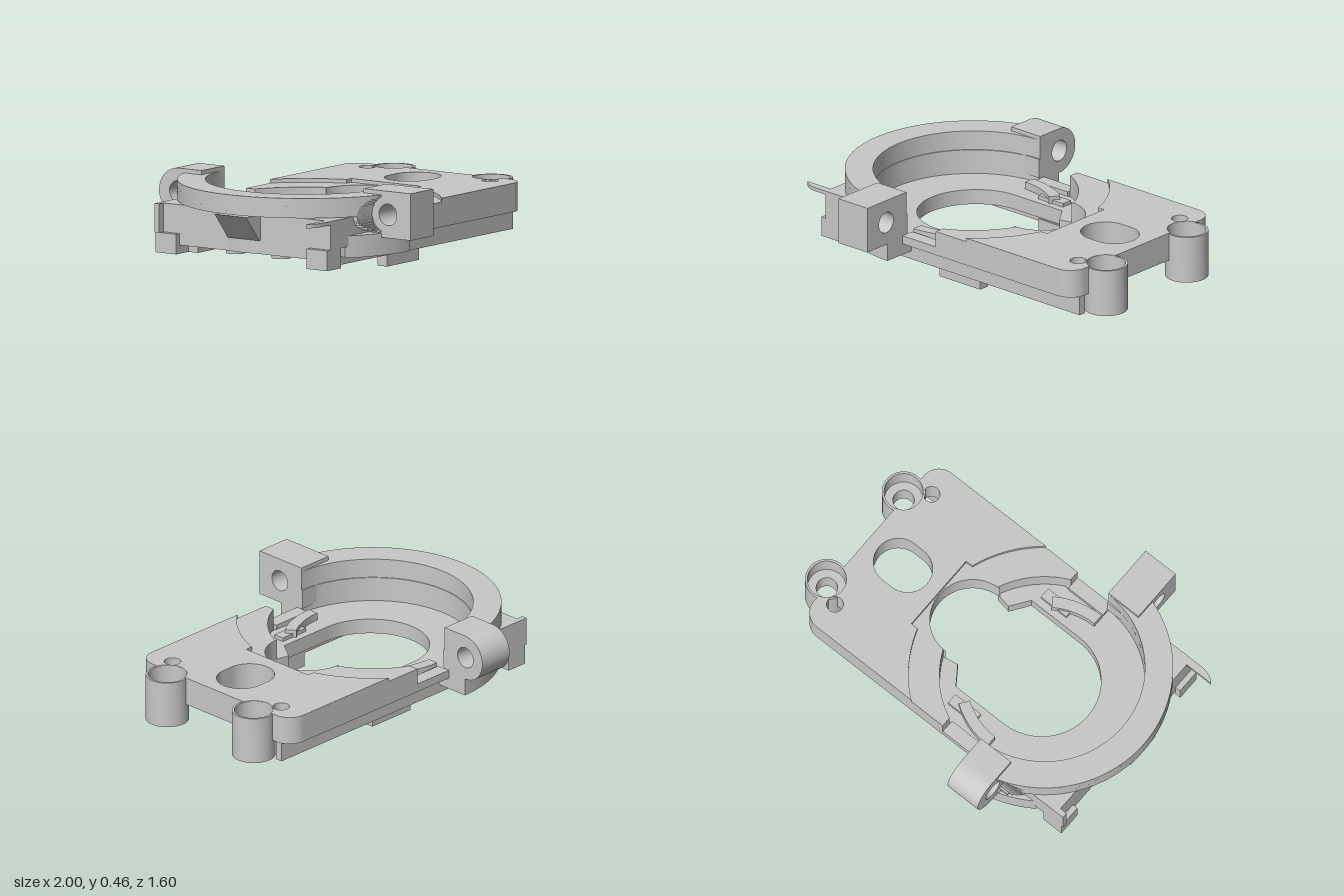
import * as THREE from 'three';
import { toCreasedNormals } from 'three/addons/utils/BufferGeometryUtils.js';

const PI = Math.PI;
const CX = -0.31, CZ = -0.015; // centre of the round seat

export function createModel() {
  const group = new THREE.Group();
  const grey = new THREE.MeshStandardMaterial({ color: 0xc8c8c8 });

  const add = (name, geo) => {
    const mesh = new THREE.Mesh(geo, grey);
    mesh.name = name;
    group.add(mesh);
  };
  const extrude = (shape, depth) =>
    new THREE.ExtrudeGeometry(shape, { depth, bevelEnabled: false, curveSegments: 32 });
  // Plan outline (x, z) raised from y0 to y1
  const slab = (name, shape, y0, y1) => {
    const g = extrude(shape, y1 - y0);
    g.rotateX(PI / 2).translate(0, y1, 0);
    add(name, toCreasedNormals(g, 0.5));
  };
  const box = (name, x0, x1, y0, y1, z0, z1) => {
    const g = new THREE.BoxGeometry(x1 - x0, y1 - y0, z1 - z0);
    g.translate((x0 + x1) / 2, (y0 + y1) / 2, (z0 + z1) / 2);
    add(name, g);
  };
  const polygon = (pts) => new THREE.Shape(pts.map(([x, y]) => new THREE.Vector2(x, y)));
  const circle = (x, z, r) => new THREE.Path().absarc(x, z, r, 0, 2 * PI, false);
  const sector = (r0, r1, a0, a1) => {
    const s = new THREE.Shape();
    s.absarc(CX, CZ, r1, a0, a1, false);
    s.absarc(CX, CZ, r0, a1, a0, true);
    return s;
  };

  // Outer edge of the plate, running from the back edge round to the front edge
  const pinX = 0.885, pinZ = [-0.325, 0.295];
  const outerEdge = (s, startX) => {
    const r = 0.1, a = Math.acos(-0.025 / r);
    s.moveTo(startX, -0.56);
    s.lineTo(0.76, -0.56);
    s.absarc(0.76, -0.46, 0.1, -PI / 2, 0, false);
    for (const z of pinZ) s.absarc(pinX, z, r, -a, a - 2 * PI, true);
    s.absarc(0.76, 0.43, 0.1, 0, PI / 2, false);
    s.lineTo(startX, 0.53);
  };
  const plateHoles = (s) => {
    const oval = new THREE.Path();
    oval.absarc(0.6, -0.018, 0.128, PI / 2, 1.5 * PI, false);
    oval.absarc(0.662, -0.018, 0.128, -PI / 2, PI / 2, false);
    s.holes.push(oval, circle(0.765, -0.405, 0.043), circle(0.765, 0.375, 0.043));
  };

  // Main plate, with a raised top layer outside the large arc
  const main = new THREE.Shape();
  outerEdge(main, -0.08);
  const a1 = Math.asin(0.22 / 0.541);
  main.absarc(CX, CZ, 0.541, Math.acos(0.23 / 0.541), a1, true);
  main.absarc(0.17, CZ, 0.22, PI / 2, -PI / 2, true);
  main.absarc(CX, CZ, 0.541, -a1, -Math.acos(0.23 / 0.541), true);
  plateHoles(main);
  slab('mainPlate', main, 0.18, 0.31);

  const top = new THREE.Shape();
  outerEdge(top, 0.129);
  const b0 = Math.asin(0.545 / 0.7), b1 = Math.asin(0.222 / 0.7);
  top.absarc(CX, CZ, 0.7, b0, b1, true);
  top.lineTo(0.395, 0.205);
  top.lineTo(0.395, -0.237);
  top.absarc(CX, CZ, 0.7, -b1, -b0, true);
  plateHoles(top);
  slab('plateTop', top, 0.31, 0.33);

  // Seat floor around the keyhole opening, flat where it meets the rails
  const floor = new THREE.Shape();
  const a2 = Math.asin(0.475 / 0.54);
  floor.absarc(CX, CZ, 0.54, a1, a2, false);
  floor.lineTo(CX, 0.46);
  floor.absarc(CX, CZ, 0.54, PI / 2, 1.5 * PI, false);
  floor.lineTo(CX, -0.49);
  floor.absarc(CX, CZ, 0.54, -a2, -a1, false);
  floor.lineTo(0.1, -0.22);
  floor.lineTo(0.03, -0.32);
  floor.lineTo(-0.27, -0.32);
  floor.absarc(-0.29, CZ, 0.305, -PI / 2, -1.5 * PI, true);
  floor.lineTo(-0.27, 0.29);
  floor.lineTo(0.03, 0.29);
  floor.lineTo(0.1, 0.19);
  slab('seatFloor', floor, 0.12, 0.2);

  // Left frame with a round inside edge
  const frame = polygon([[CX, -0.56], [-0.84, -0.56], [-0.84, 0.53], [CX, 0.53]]);
  frame.absarc(CX, CZ, 0.515, PI / 2, 1.5 * PI, false);
  slab('leftFrame', frame, 0.18, 0.33);
  box('leftEnd', -0.84, -0.79, 0.12, 0.18, -0.56, 0.53);

  // Tall half ring in thin layers, scooped out beside the ears along the hole axis
  const layers = 20, y0 = 0.23, dy = 0.205 / layers;
  for (let i = 0; i < layers; i++) {
    const y = y0 + i * dy;
    const h = y + dy / 2 - 0.335;
    const d = Math.min(0.655, 0.67 - Math.sqrt(Math.max(0, 0.01 - h * h)));
    const x = CX - Math.sqrt(0.66 * 0.66 - d * d);
    if (y < 0.324) {
      box('frontWall', x, CX, y, y + dy, 0.49, CZ + d);
      box('backWall', x, CX, y, y + dy, CZ - d, -0.52);
      continue;
    }
    const c = PI - Math.asin(d / 0.66);
    const ring = new THREE.Shape();
    ring.moveTo(CX, CZ + d);
    ring.lineTo(x, CZ + d);
    ring.absarc(CX, CZ, 0.66, c, 2 * PI - c, false);
    ring.lineTo(CX, CZ - d);
    ring.absarc(CX, CZ, 0.515, 1.5 * PI, PI / 2, true);
    slab('halfRing', ring, y, y + dy);
  }

  // Gusset under the ring overhang at the left end
  const gusset = polygon([[-0.965, 0.325], [-0.85, 0.19], [-0.83, 0.19], [-0.83, 0.325]]);
  add('gusset', extrude(gusset, 0.2).translate(0, 0, CZ - 0.1));

  // Ring skirts that bulge past the frame on both sides
  slab('frontSkirt', sector(0.515, 0.66, PI / 2, 2.2), 0.12, 0.235);
  slab('backSkirt', sector(0.515, 0.66, 2 * PI - 2.2, 1.5 * PI), 0.12, 0.235);

  // Curved ribs and small steps on the seat floor
  slab('frontRib', sector(0.4, 0.46, 0.97, PI / 2), 0.2, 0.24);
  slab('backRib', sector(0.4, 0.46, -PI / 2, -0.97), 0.2, 0.24);
  box('frontStep', -0.17, 0, 0.2, 0.22, 0.33, 0.39);
  box('backStep', -0.17, 0, 0.2, 0.22, -0.42, -0.36);

  // Side sills, lower rails, feet and corner blocks
  box('frontSill', CX, -0.08, 0.18, 0.225, 0.455, 0.53);
  box('backSill', CX, -0.08, 0.18, 0.225, -0.56, -0.485);
  const rail = [[-0.76, 0.34], [0.71, 0.34], [0.71, 0.42], [0.85, 0.42], [0.85, 0.46], [-0.76, 0.46]];
  slab('frontRail', polygon(rail), 0.075, 0.18);
  slab('backRail', polygon(rail.map(([x, z]) => [x, 2 * CZ - z])), 0.075, 0.18);
  box('frontFoot', -0.17, 0.11, 0, 0.09, 0.34, 0.4);
  box('backFoot', -0.17, 0.11, 0, 0.09, -0.42, -0.36);
  box('frontCorner', -0.87, -0.75, 0.075, 0.18, 0.4, 0.53);
  box('backCorner', -0.87, -0.75, 0.075, 0.18, -0.56, -0.43);
  box('backTab', -0.88, -0.84, 0.18, 0.33, -0.56, -0.53);

  // Small bosses under the left end
  for (const z of [-0.16, 0.13]) {
    const s = new THREE.Shape();
    s.absarc(-0.72, z, 0.05, 0, 2 * PI, false);
    slab('boss', s, 0.09, 0.14);
  }

  // Thin curved lip at the front left corner
  const lip = polygon([[-0.83, 0.53], [-0.83, 0.49], [-1, 0.49]]);
  lip.quadraticCurveTo(-0.97, 0.53, -0.9, 0.53);
  slab('lip', lip, 0.31, 0.33);

  // Hinge ears with cross holes
  const ear = (name, shape, holeZ) => {
    shape.holes.push(circle(holeZ, 0.335, 0.056));
    const g = extrude(shape, 0.2);
    g.rotateY(-PI / 2).translate(CX, 0, 0);
    add(name, toCreasedNormals(g, 0.5));
  };
  ear('frontEar', polygon([[0.5, 0.213], [0.8, 0.213], [0.8, 0.457], [0.5, 0.457]]), 0.655);
  const backEar = polygon([[-0.53, 0.213], [-0.53, 0.457], [-0.678, 0.457]]);
  backEar.absarc(-0.678, 0.335, 0.122, PI / 2, 1.5 * PI, false);
  ear('backEar', backEar, -0.678);

  // Hollow pins on the right end
  const profile = [[0.055, 0.075], [0.112, 0.075], [0.112, 0.325], [0.1, 0.325],
    [0.1, 0.2], [0.055, 0.2], [0.055, 0.075]].map(([r, y]) => new THREE.Vector2(r, y));
  for (const z of pinZ) {
    const g = toCreasedNormals(new THREE.LatheGeometry(profile, 40), 0.5);
    add('pin', g.translate(pinX, 0, z));
  }
  return group;
}
